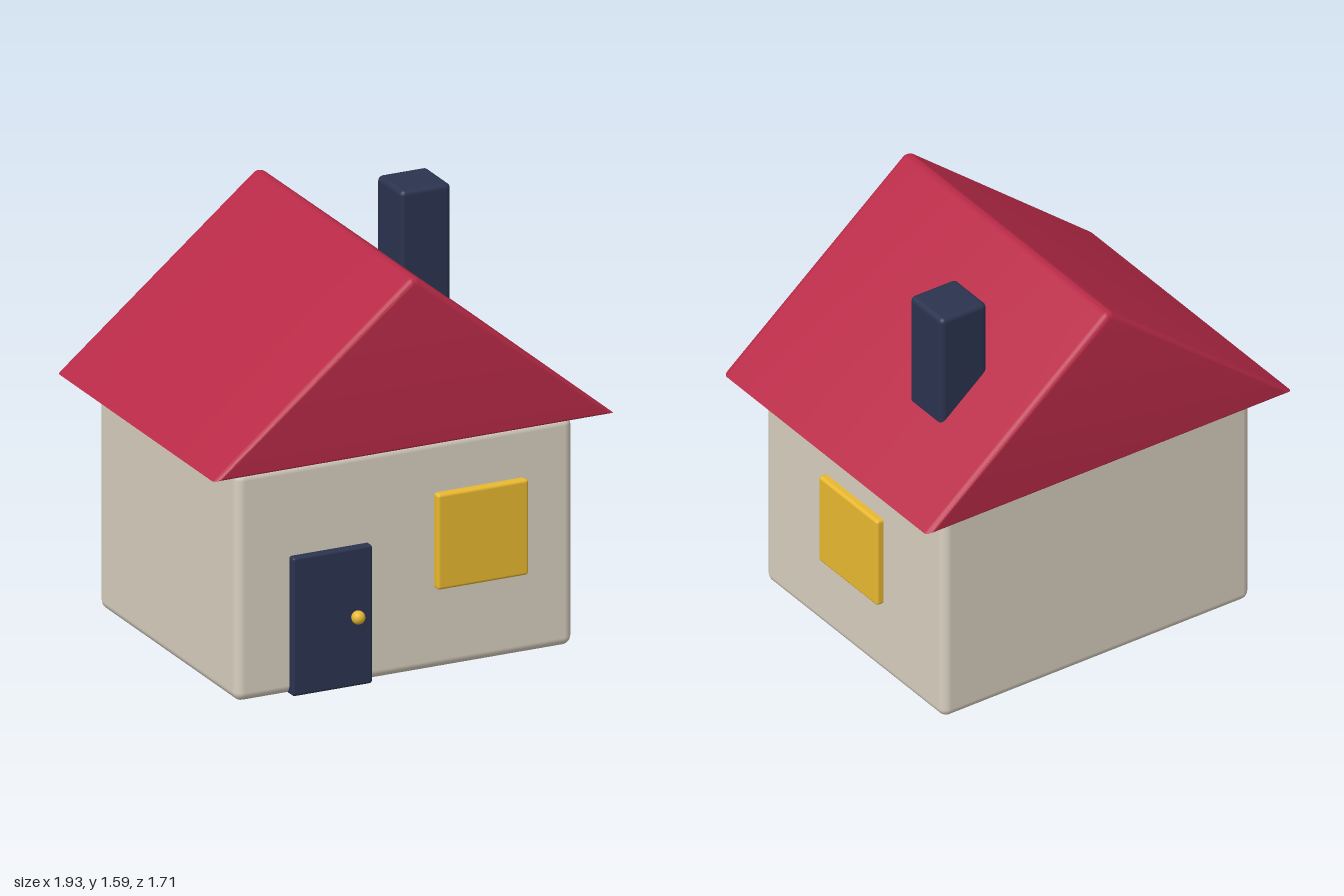
import * as THREE from 'three';
import { RoundedBoxGeometry } from 'three/addons/geometries/RoundedBoxGeometry.js';
import { toCreasedNormals } from 'three/addons/utils/BufferGeometryUtils.js';

const paint = (color) => new THREE.MeshStandardMaterial({ color });

// Gable prism: an inset triangle with a softened ridge, grown outward by the bevel
function roofGeometry(halfWidth, height, halfDepth, bevel, ridgeRadius) {
  const slope = Math.atan2(height, halfWidth);
  const eaveX = halfWidth - bevel / Math.tan(slope / 2);
  const centreY = height - ridgeRadius / Math.cos(slope);
  const r = ridgeRadius - bevel;
  const points = [new THREE.Vector2(-eaveX, bevel), new THREE.Vector2(eaveX, bevel)];
  const steps = 8;
  for (let i = 0; i <= steps; i++) {
    const a = slope * (1 - (2 * i) / steps);
    points.push(new THREE.Vector2(r * Math.sin(a), centreY + r * Math.cos(a)));
  }
  const geometry = new THREE.ExtrudeGeometry(new THREE.Shape(points), {
    depth: 2 * (halfDepth - bevel),
    bevelEnabled: true,
    bevelSize: bevel,
    bevelThickness: bevel,
    bevelSegments: 6,
  });
  geometry.translate(0, 0, bevel - halfDepth);
  return toCreasedNormals(geometry, 0.5);
}

export function createModel() {
  const house = new THREE.Group();
  house.name = 'house';

  const wall = paint(0xd8cfbf);
  const red = paint(0xb82a47);
  const navy = paint(0x2b334f);
  const yellow = paint(0xe8b830);

  const add = (name, geometry, material, x, y, z) => {
    const mesh = new THREE.Mesh(geometry, material);
    mesh.name = name;
    mesh.position.set(x, y, z);
    house.add(mesh);
    return mesh;
  };
  const box = (w, h, d, r) => new RoundedBoxGeometry(w, h, d, 4, r);

  // Walls and roof
  add('walls', box(1.376, 0.895, 1.132, 0.035), wall, 0, 0.4475, 0);
  add('roof', roofGeometry(0.855, 0.685, 0.65, 0.025, 0.035), red, 0, 0.895, 0);

  // Chimney, sunk into the right-hand roof slope
  add('chimney', box(0.205, 0.53, 0.205, 0.02), navy, 0.443, 1.322, -0.25);

  // Door with its knob
  add('door', box(0.325, 0.54, 0.06, 0.01), navy, -0.31, 0.27, 0.567);
  add('doorKnob', new THREE.SphereGeometry(0.026, 24, 16), yellow, -0.214, 0.273, 0.612);

  // Windows, one on the front wall and one on the side wall
  const pane = box(0.372, 0.373, 0.06, 0.012);
  add('frontWindow', pane, yellow, 0.305, 0.503, 0.567);
  add('sideWindow', pane, yellow, 0.688, 0.49, 0).rotation.y = Math.PI / 2;

  // The whole house stands turned a little
  house.rotation.y = 0.297;

  const model = new THREE.Group();
  model.name = 'model';
  model.add(house);
  return model;
}
